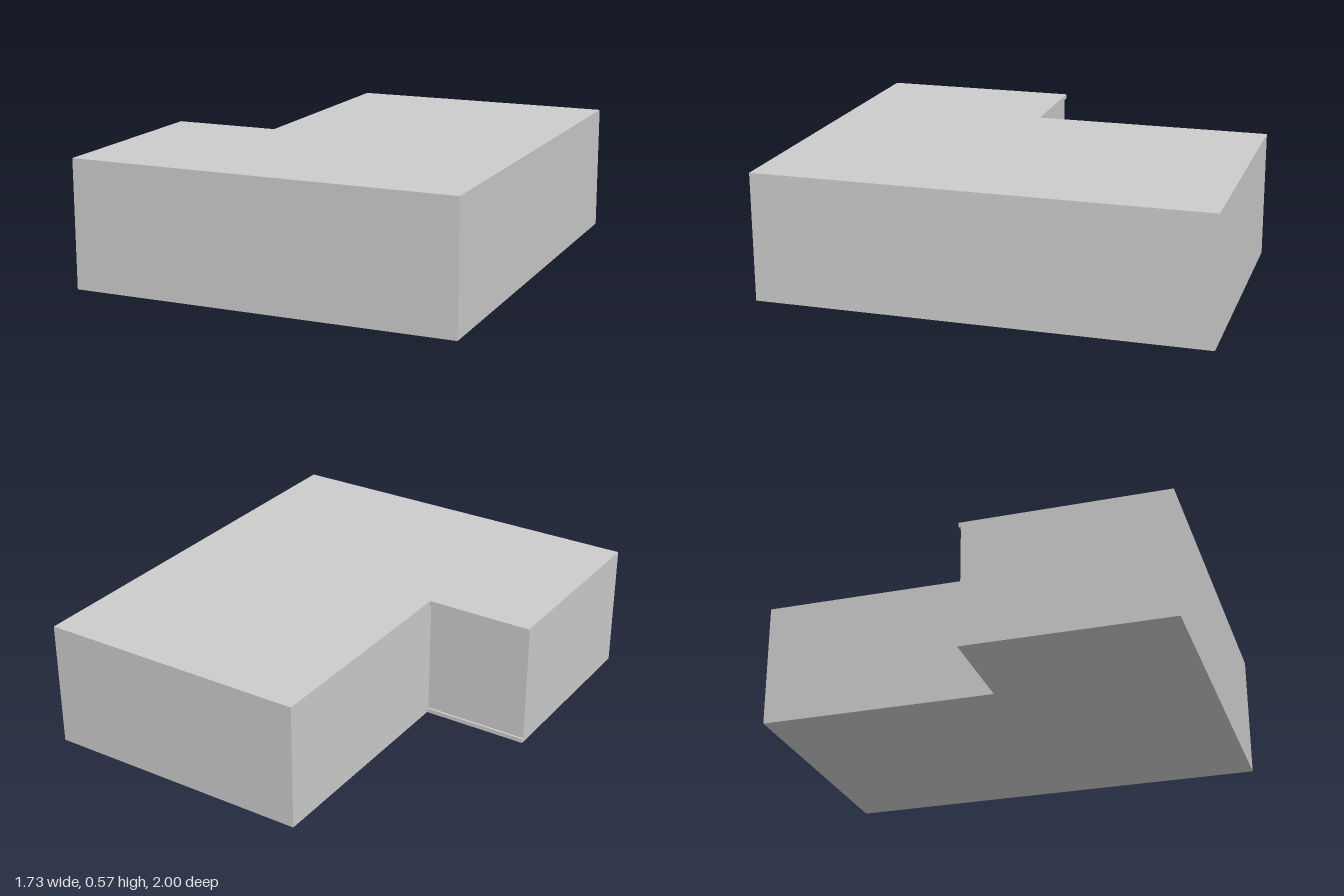
import * as THREE from 'three';

const HEIGHT = 0.575, HALF_W = 0.865, NOTCH_X = -0.375, NOTCH_Z = 0.085;
const LIP = 0.02, RECESS = 0.01;

export function createModel() {
  const model = new THREE.Group();
  model.name = 'lShapedBlock';
  const material = new THREE.MeshStandardMaterial({ color: 0xcccccc, flatShading: true });
  const add = (name, geometry) => {
    const mesh = new THREE.Mesh(geometry, material);
    mesh.name = name;
    model.add(mesh);
  };

  // Long block running the full depth
  const mainWidth = HALF_W - NOTCH_X;
  add('mainBlock', new THREE.BoxGeometry(mainWidth, HEIGHT, 2)
    .translate(NOTCH_X + mainWidth / 2, HEIGHT / 2, 0));

  // Short wing: (z, y) profile with thin lips above and below a shallow recessed back wall
  const profile = new THREE.Shape([
    [1, 0], [1, HEIGHT], [NOTCH_Z, HEIGHT], [NOTCH_Z, HEIGHT - LIP],
    [NOTCH_Z + RECESS, HEIGHT - LIP], [NOTCH_Z + RECESS, LIP], [NOTCH_Z, LIP], [NOTCH_Z, 0],
  ].map(([z, y]) => new THREE.Vector2(z, y)));
  add('sideWing', new THREE.ExtrudeGeometry(profile, { depth: HALF_W + NOTCH_X, bevelEnabled: false })
    .rotateY(-Math.PI / 2)
    .translate(NOTCH_X, 0, 0));

  return model;
}
